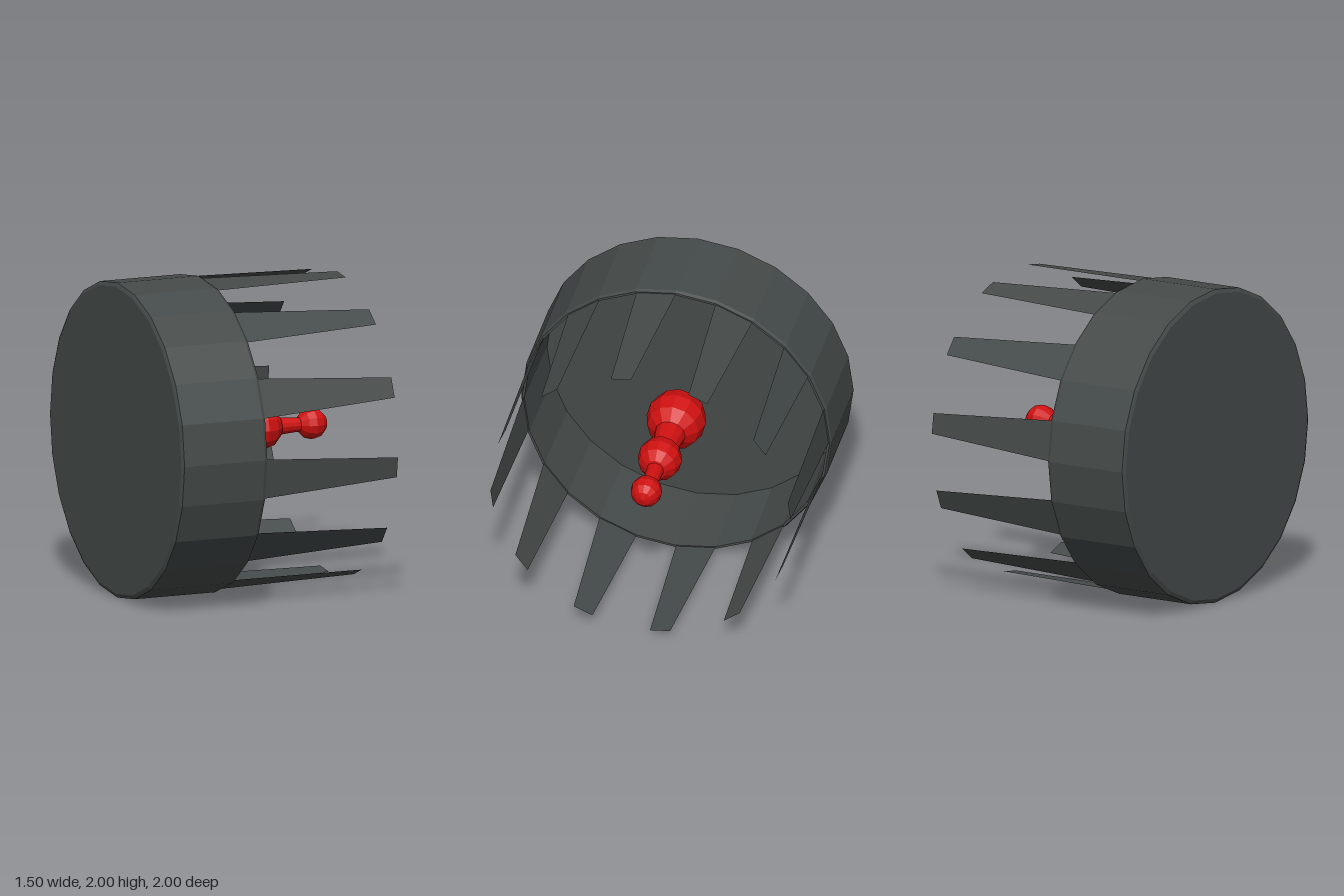
import * as THREE from 'three';

export function createModel() {
  const model = new THREE.Group();
  const slate = new THREE.MeshStandardMaterial({ color: 0x454b4a, flatShading: true, side: THREE.DoubleSide });
  slate.name = 'dark slate';
  const red = new THREE.MeshStandardMaterial({ color: 0xd01010, flatShading: true });
  red.name = 'red';

  // Everything is built around the long axis, x, at height 1
  const add = (name, geometry, material) => {
    const mesh = new THREE.Mesh(geometry, material);
    mesh.name = name;
    mesh.position.y = 1;
    model.add(mesh);
    return mesh;
  };

  // Hollow 24-sided cup, chamfered at the back and rim, open towards +x
  const profile = [
    [0, -0.75], [0.975, -0.75], [1, -0.738], [1, -0.185], [0.99, -0.165],
    [0.975, -0.165], [0.965, -0.71], [0, -0.71],
  ].map(([r, a]) => new THREE.Vector2(r, a));
  add('cup', new THREE.LatheGeometry(profile, 24).rotateZ(-Math.PI / 2), slate);

  // Twelve thin tapered blades on every other side of the rim
  const step = Math.PI / 12;
  const corner = (angle, r, x) => [x, r * Math.sin(angle), r * Math.cos(angle)];
  for (let k = 1; k < 24; k += 2) {
    const mid = (k + 0.5) * step;
    const spread = (half, apothem, x, side) =>
      corner(mid + side * Math.atan2(half, apothem), Math.hypot(half, apothem), x);
    const blade = new THREE.BufferGeometry();
    blade.setAttribute('position', new THREE.Float32BufferAttribute([
      spread(0.128, 0.974, -0.17, -1), spread(0.065, 0.965, 0.745, -1),
      spread(0.065, 0.965, 0.745, 1), spread(0.128, 0.974, -0.17, 1),
    ].flat(), 3));
    blade.setIndex([0, 1, 2, 0, 2, 3]);
    blade.computeVertexNormals();
    add('blade', blade, slate);
  }

  // Faceted antenna balls, poles along the axis
  for (const [name, x, r] of [['baseBall', -0.175, 0.19], ['middleBall', 0.245, 0.14], ['tipBall', 0.595, 0.1]]) {
    add(name, new THREE.SphereGeometry(r, 12, 6).rotateZ(-Math.PI / 2), red).position.x = x;
  }

  // Tapered rods joining the balls
  for (const [name, x0, r0, x1, r1] of [['thickRod', -0.12, 0.113, 0.2, 0.068], ['thinRod', 0.3, 0.06, 0.56, 0.042]]) {
    const rod = new THREE.CylinderGeometry(r1, r0, x1 - x0, 12).rotateZ(-Math.PI / 2);
    add(name, rod, red).position.x = (x0 + x1) / 2;
  }
  return model;
}
